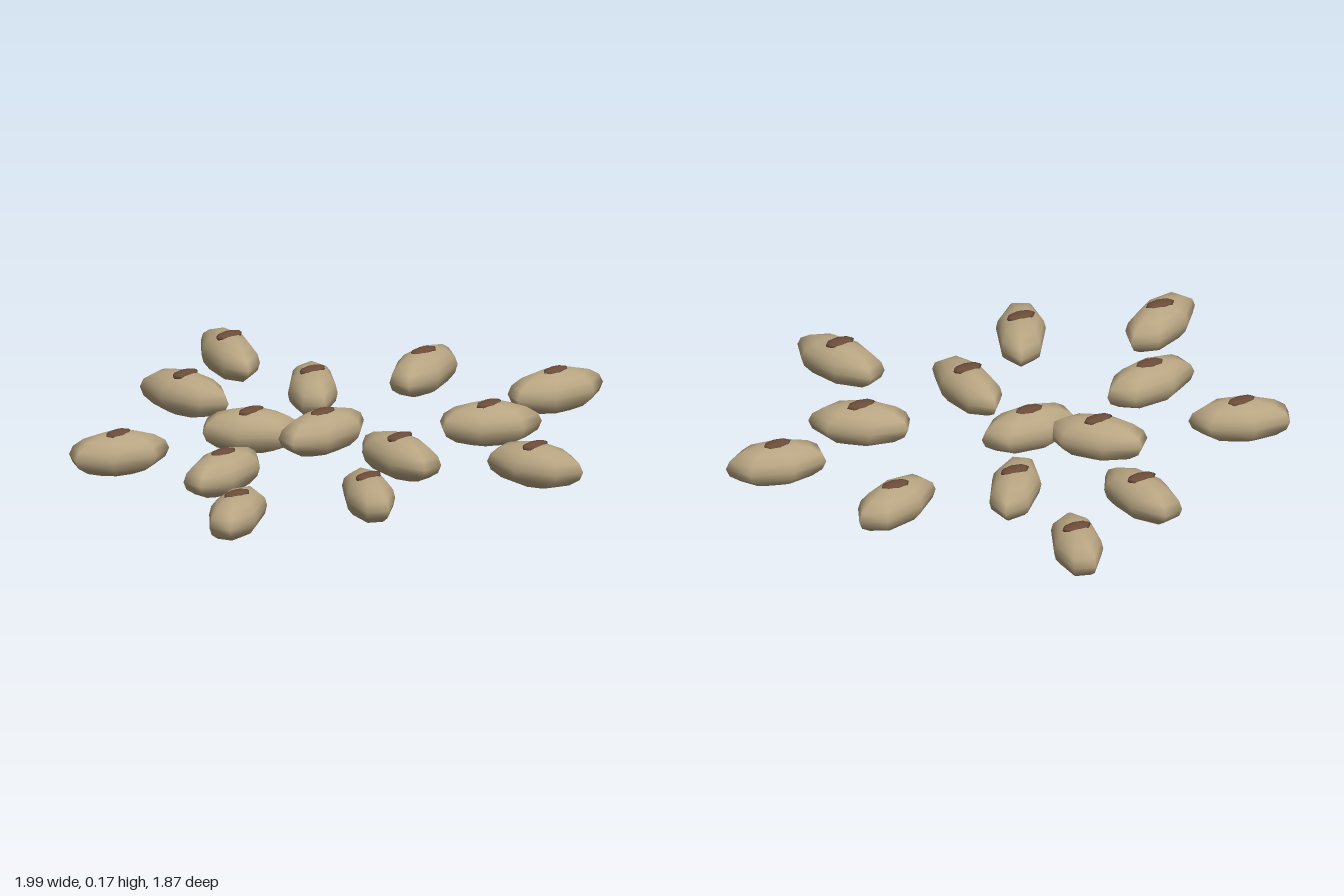
import * as THREE from 'three';

export function createModel() {
  const model = new THREE.Group();
  model.name = 'scatteredBeans';

  const tan = new THREE.MeshStandardMaterial({ color: 0xb8a582 });
  tan.name = 'beanTan';
  const brown = new THREE.MeshStandardMaterial({ color: 0x6b4c38 });
  brown.name = 'eyeBrown';

  // Oval bean: blunt at one end, narrower at the other (+x)
  const beanGeo = new THREE.SphereGeometry(1, 7, 8);
  beanGeo.rotateY(Math.PI);
  beanGeo.scale(0.187, 0.08, 0.09);

  // Flat dark eye on top of each bean
  const eyeGeo = new THREE.SphereGeometry(1, 8, 6);
  eyeGeo.scale(0.056, 0.015, 0.029);

  // Bean centres (x, z), spiralling outwards from the middle
  const spots = [
    [-0.085, 0.04], [-0.27, -0.13], [-0.03, 0.4], [0.155, -0.31],
    [-0.61, 0.13], [0.42, 0.345], [-0.215, -0.562], [-0.365, 0.635],
    [0.575, -0.207], [-0.775, -0.25], [0.283, 0.768], [0.147, -0.762],
    [-0.835, 0.48], [0.81, 0.237],
  ];
  const flipped = [1, 2, 4, 6, 7, 9, 11, 12];
  const goldenAngle = Math.PI * (3 - Math.sqrt(5));

  spots.forEach(([x, z], i) => {
    const seed = new THREE.Group();
    seed.name = `seed${i + 1}`;
    seed.position.set(x, 0, z);

    // Every bean lies along its spiral direction
    const bean = new THREE.Mesh(beanGeo, tan);
    bean.name = 'bean';
    bean.position.y = 0.08;
    bean.rotation.y = i * goldenAngle + (flipped.includes(i) ? Math.PI : 0);

    const eye = new THREE.Mesh(eyeGeo, brown);
    eye.name = 'eye';
    eye.position.y = 0.152;

    seed.add(bean, eye);
    model.add(seed);
  });

  return model;
}
